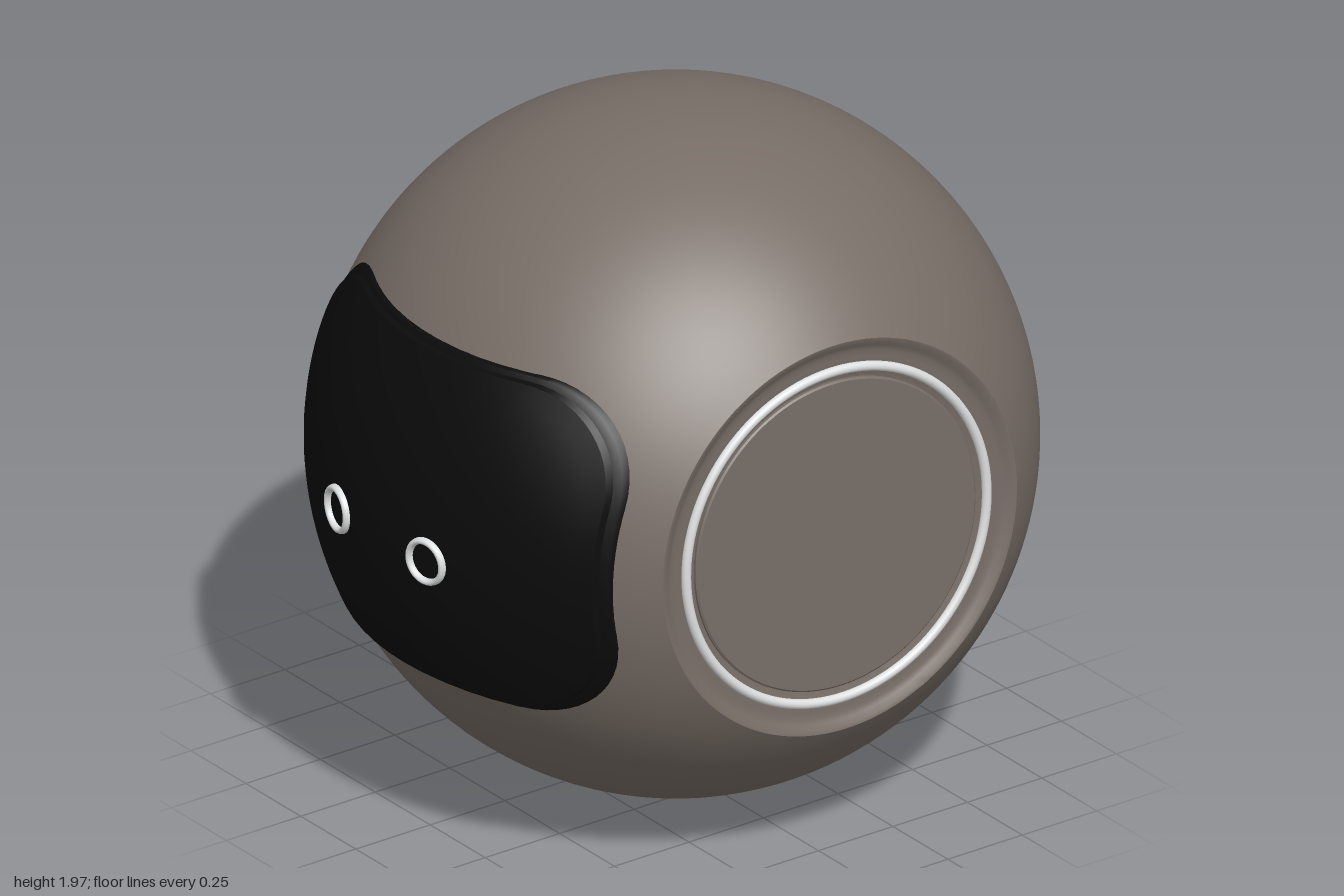
import * as THREE from 'three';
import { toCreasedNormals } from 'three/addons/utils/BufferGeometryUtils.js';

const R = 0.985;                                        // body radius
const CENTER = new THREE.Vector3(0.08, 0.985, -0.015);  // body centre
const UP = new THREE.Vector3(0, 1, 0);
const FORWARD = new THREE.Vector3(0, 0, 1);

const flat = (name, color) => {
  const m = new THREE.MeshStandardMaterial({ color });
  m.name = name;
  return m;
};

// Rounded rectangle outline, anticlockwise, centred on the origin
function roundedOutline(halfW, halfH, radius, arcSteps = 14, sideSteps = 10) {
  const corners = [[1, 1], [-1, 1], [-1, -1], [1, -1]];
  const pts = [];
  corners.forEach(([sx, sy], c) => {
    for (let i = 0; i <= arcSteps; i++) {
      const a = (c + i / arcSteps) * Math.PI / 2;
      pts.push(new THREE.Vector2(
        sx * (halfW - radius) + radius * Math.cos(a),
        sy * (halfH - radius) + radius * Math.sin(a)));
    }
    const last = pts[pts.length - 1].clone();
    const [nx, ny] = corners[(c + 1) % 4];
    const b = (c + 1) * Math.PI / 2;
    const next = new THREE.Vector2(
      nx * (halfW - radius) + radius * Math.cos(b),
      ny * (halfH - radius) + radius * Math.sin(b));
    for (let i = 1; i < sideSteps; i++) pts.push(last.clone().lerp(next, i / sideSteps));
  });
  return pts;
}

// Face panel: scaled outlines projected onto spheres around the body centre
function panelGeometry() {
  const outline = roundedOutline(0.68, 0.49, 0.3);
  const offsetY = 0.05;
  const rings = [];
  for (let i = 0; i <= 16; i++) rings.push([0.96 * i / 16, 1.005]);
  rings.push([0.966, 0.993], [0.99, 0.992], [1, 0.985], [1, 0.96]);
  const n = outline.length;
  const pos = [], index = [];
  for (const [s, r] of rings) {
    for (const p of outline) {
      const x = p.x * s, y = p.y * s + offsetY;
      pos.push(x, y, Math.sqrt(r * r - x * x - y * y));
    }
  }
  for (let k = 0; k < rings.length - 1; k++) {
    for (let i = 0; i < n; i++) {
      const j = (i + 1) % n;
      const a = k * n + i, b = k * n + j, c = a + n, d = b + n;
      if (k > 0) index.push(a, d, b);
      index.push(a, c, d);
    }
  }
  const g = new THREE.BufferGeometry();
  g.setAttribute('position', new THREE.Float32BufferAttribute(pos, 3));
  g.setIndex(index);
  return toCreasedNormals(g, 0.5);
}

export function createModel() {
  const model = new THREE.Group();
  const shell = flat('warm grey shell', 0x776d66);
  const black = flat('black panel', 0x0b0b0b);
  const silver = flat('pale silver', 0xdedfe0);

  const add = (parent, name, geometry, material) => {
    const mesh = new THREE.Mesh(geometry, material);
    mesh.name = name;
    parent.add(mesh);
    return mesh;
  };
  const lathe = (pts) => new THREE.LatheGeometry(pts.map(([r, y]) => new THREE.Vector2(r, y)), 128);

  // Body group: its local y axis points out through the side dial
  const body = new THREE.Group();
  body.name = 'body';
  body.position.copy(CENTER);
  body.quaternion.setFromUnitVectors(UP, new THREE.Vector3(1, 0.02, 0.047).normalize());
  model.add(body);

  // Ball, open where the side is cut flat
  const cutR = 0.575;
  const cutY = Math.sqrt(R * R - cutR * cutR);
  const end = Math.PI - Math.asin(cutR / R);
  const ball = [];
  for (let i = 0; i <= 72; i++) {
    const a = end * i / 72;
    ball.push([R * Math.sin(a), -R * Math.cos(a)]);
  }
  add(body, 'ballShell', lathe(ball), shell);

  // Shallow dished surround and groove of the dial
  const dish = lathe([
    [cutR, cutY], [0.565, cutY - 0.002], [0.55, cutY - 0.014], [0.535, cutY - 0.02],
    [0.515, cutY - 0.021], [0.474, cutY - 0.021], [0.46, cutY - 0.03], [0.455, cutY - 0.03],
  ]);
  add(body, 'dialSurround', toCreasedNormals(dish, 0.6), shell);

  // Flat dial face
  const face = lathe([[0.455, cutY - 0.03], [0.455, cutY - 0.022], [0.45, cutY - 0.018], [0, cutY - 0.018]]);
  add(body, 'dialFace', toCreasedNormals(face, 0.4), shell);

  // Bright ring round the dial
  const ring = add(body, 'dialRing', new THREE.TorusGeometry(0.488, 0.014, 14, 128), silver);
  ring.rotation.x = Math.PI / 2;
  ring.position.y = cutY - 0.018;

  // Curved face panel
  add(model, 'facePanel', panelGeometry(), black).position.copy(CENTER);

  // Ring eyes lying on the panel
  for (const side of [-1, 1]) {
    const dir = new THREE.Vector3(side * 0.2, -0.017, 0.985).normalize();
    const eye = add(model, side > 0 ? 'leftEye' : 'rightEye',
      new THREE.TorusGeometry(0.06, 0.0095, 12, 48), silver);
    eye.scale.z = 1.6;
    eye.quaternion.setFromUnitVectors(FORWARD, dir);
    eye.position.copy(CENTER).addScaledVector(dir, 1.005);
  }
  return model;
}
